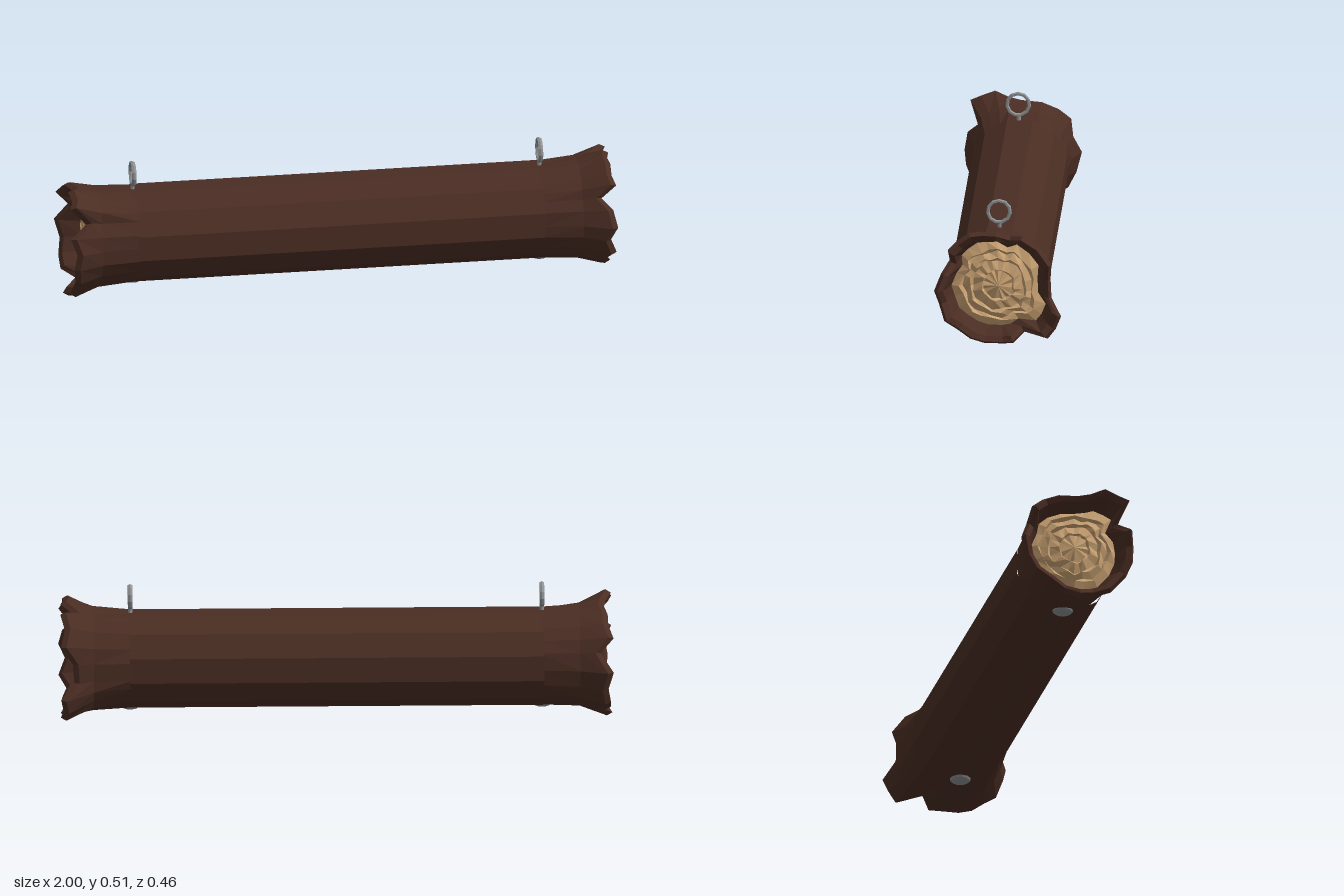
import * as THREE from 'three';

const CY = 0.228;   // height of the log axis
const R = 0.178;    // trunk radius (12-sided)
const SIDES = 12;

const mat = (name, color) => {
  const m = new THREE.MeshStandardMaterial({ color, flatShading: true });
  m.name = name;
  return m;
};

// Rim outlines as [z, y], from the top round through +z
const leftRim = [
  [0.005, 0.443], [0.06, 0.442], [0.105, 0.437], [0.15, 0.405], [0.18, 0.375], [0.176, 0.325],
  [0.205, 0.284], [0.23, 0.222], [0.214, 0.17], [0.193, 0.109], [0.145, 0.07], [0.10, 0.042],
  [0.05, 0.025], [-0.02, 0.023], [-0.057, 0.03], [-0.096, 0.057], [-0.182, 0.048], [-0.21, 0.082],
  [-0.23, 0.132], [-0.193, 0.19], [-0.19, 0.26], [-0.195, 0.327], [-0.15, 0.386], [-0.09, 0.43],
  [-0.045, 0.415],
];
const rightRim = [
  [0.003, 0.42], [0.05, 0.43], [0.10, 0.447], [0.15, 0.43], [0.19, 0.41], [0.16, 0.335],
  [0.20, 0.29], [0.21, 0.23], [0.205, 0.17], [0.18, 0.11], [0.12, 0.038], [0.06, 0.018],
  [0.003, 0], [-0.045, 0.04], [-0.11, 0.055], [-0.165, 0.09], [-0.195, 0.15], [-0.214, 0.22],
  [-0.185, 0.29], [-0.175, 0.345], [-0.13, 0.385], [-0.07, 0.41],
];

// Skin a list of closed sections; flip reverses the faces for the mirrored end
function loft(sections, flip) {
  const pos = [];
  const n = sections[0].length;
  const tri = (a, b, c) => pos.push(...a, ...(flip ? c : b), ...(flip ? b : c));
  for (let s = 0; s < sections.length - 1; s++) {
    for (let i = 0; i < n; i++) {
      const j = (i + 1) % n;
      const [p, q] = [sections[s], sections[s + 1]];
      tri(p[i], p[j], q[i]);
      tri(p[j], q[j], q[i]);
    }
  }
  const g = new THREE.BufferGeometry();
  g.setAttribute('position', new THREE.Float32BufferAttribute(pos, 3));
  g.computeVertexNormals();
  return g;
}

function createEnd(side, rim, bark, wood) {
  const polar = rim.map(([z, y]) => ({ a: Math.atan2(z, y - CY), r: Math.hypot(z, y - CY) }));
  const n = polar.length;
  const step = (2 * Math.PI) / SIDES;
  const at = (i, r, x) => [side * x, CY + r * Math.cos(polar[i].a), r * Math.sin(polar[i].a)];
  // Radius of the 12-sided trunk in the direction of a rim point
  const trunk = (i) => {
    const a = polar[i].a;
    return (R * Math.cos(step / 2)) / Math.cos(a - Math.round(a / step) * step);
  };
  // Dents in the outline are also torn back along the log
  const rimX = (i) => {
    const dent = (polar[(i + 1) % n].r + polar[(i + n - 1) % n].r) / 2 - polar[i].r;
    return THREE.MathUtils.clamp(0.985 + 0.006 * Math.sin(i * 2.4) - 1.6 * dent, 0.94, 1);
  };
  const ring = (f) => polar.map((p, i) => at(i, ...f(i, p.r)));

  // Flaring bark, rim thickness and inner wall
  const barkSections = [
    ring((i) => [trunk(i), 0.74]),
    ring((i, r) => [THREE.MathUtils.lerp(trunk(i), r, 0.3), 0.88]),
    ring((i, r) => [r, rimX(i) - 0.02]),
    ring((i, r) => [r * 0.95, rimX(i)]),
    ring((i, r) => [r * 0.86, rimX(i) - 0.012]),
    ring((i, r) => [r * 0.74, 0.9]),
  ];
  // Stepped growth rings: [scale, x, roundness]
  const woodSections = [
    [0.75, 0.9, 0], [0.62, 0.914, 0.4], [0.58, 0.902, 0.5], [0.48, 0.916, 0.6],
    [0.44, 0.904, 0.7], [0.28, 0.916, 0.7], [0.25, 0.908, 0.6], [0, 0.922, 1],
  ].map(([s, x, k], j) => ring((i, r) => [
    s * THREE.MathUtils.lerp(r, 0.21, k) * (1 + (j ? 0.05 * Math.sin(i * 1.9 + j) : 0)),
    x + (s && j ? 0.004 * Math.sin(i * 2.7 + j * 1.3) : 0),
  ]));

  const group = new THREE.Group();
  const barkMesh = new THREE.Mesh(loft(barkSections, side < 0), bark);
  barkMesh.name = 'flaredBark';
  const woodMesh = new THREE.Mesh(loft(woodSections, side < 0), wood);
  woodMesh.name = 'growthRings';
  group.add(barkMesh, woodMesh);
  group.name = side > 0 ? 'leftEnd' : 'rightEnd';
  return group;
}

// Ring on a bolt running through the log, with a domed head underneath
function createEyeBolt(side, metal) {
  const group = new THREE.Group();
  const add = (name, geometry, y, z = 0) => {
    const m = new THREE.Mesh(geometry, metal);
    m.name = name;
    m.position.set(0, y, z);
    group.add(m);
    return m;
  };
  const eye = new THREE.TorusGeometry(0.0405, 0.0068, 6, 11);
  eye.rotateZ(Math.PI / 2).rotateY(Math.PI / 2).scale(1.35, 1, 1);
  add('ring', eye, 0.459, 0.006);
  add('shaft', new THREE.CylinderGeometry(0.008, 0.008, 0.37, 8), 0.237, 0.004);
  add('boltHead', new THREE.SphereGeometry(0.038, 12, 8), 0.056).scale.y = 0.46;
  group.position.x = side * 0.745;
  group.name = side > 0 ? 'leftEyeBolt' : 'rightEyeBolt';
  return group;
}

export function createModel() {
  const bark = mat('bark', 0x4a2d23);
  const wood = mat('cut wood', 0xc9a273);
  const metal = mat('metal', 0x8e9092);

  const model = new THREE.Group();
  model.name = 'hangingLog';

  // Straight trunk with a flat facet on top
  const trunkGeo = new THREE.CylinderGeometry(R, R, 1.5, SIDES, 1, true);
  trunkGeo.rotateY(Math.PI / SIDES).rotateZ(Math.PI / 2);
  const trunk = new THREE.Mesh(trunkGeo, bark);
  trunk.name = 'trunk';
  trunk.position.y = CY;
  model.add(trunk);

  model.add(createEnd(1, leftRim, bark, wood), createEnd(-1, rightRim, bark, wood));
  for (const side of [1, -1]) model.add(createEyeBolt(side, metal));
  return model;
}
